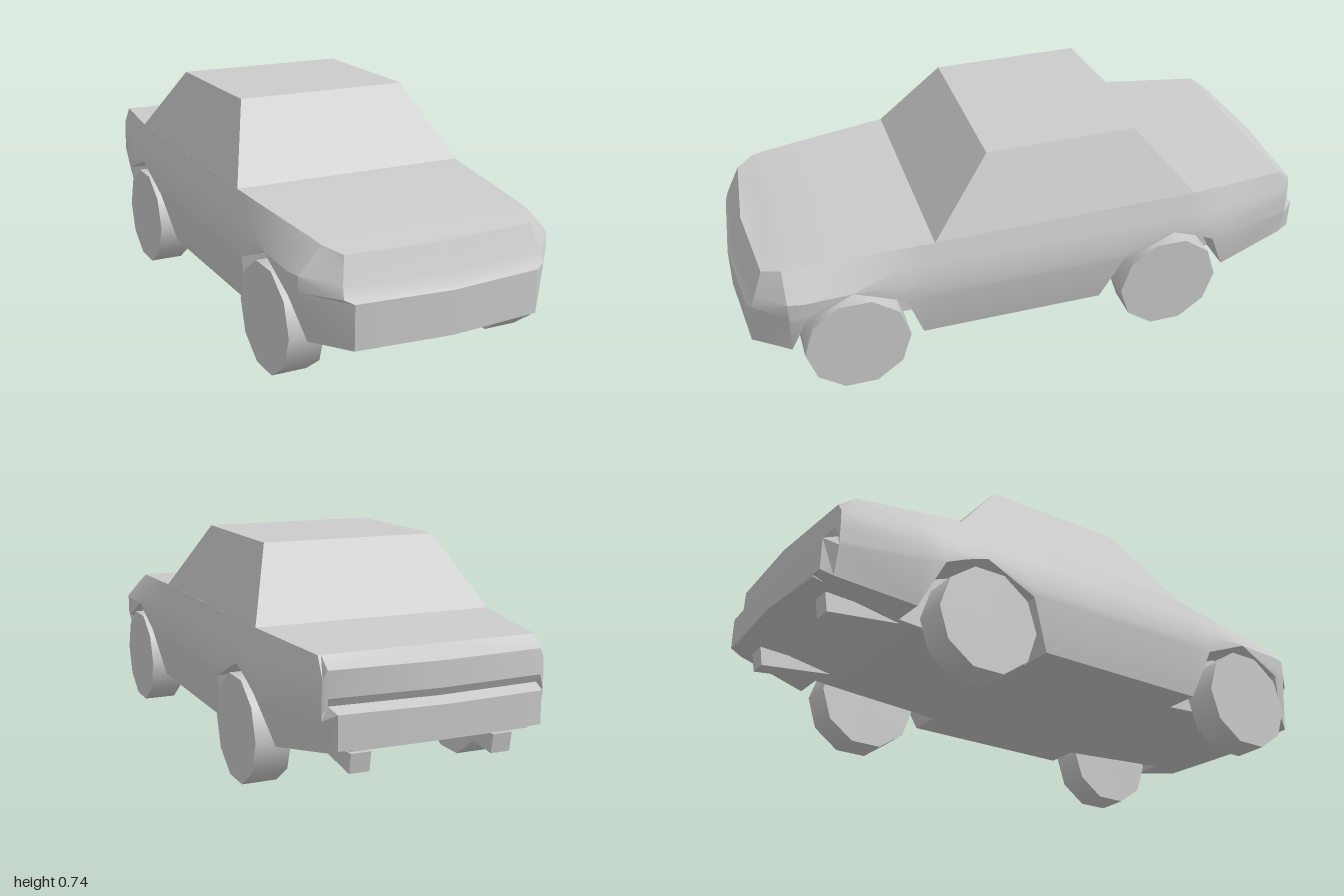
import * as THREE from 'three';
import { toCreasedNormals } from 'three/addons/utils/BufferGeometryUtils.js';

const material = new THREE.MeshStandardMaterial({ color: 0xcccccc });
const WELL_X = 0.29; // inner wall of the wheel wells

function addMesh(parent, name, geometry) {
  const mesh = new THREE.Mesh(geometry, material);
  mesh.name = name;
  parent.add(mesh);
  return mesh;
}

// Skins rings of [x, y, z] points, ordered front to back, and mirrors them in x.
function mirroredLoft(rings, crease) {
  const pos = [];
  const ab = new THREE.Vector3(), ac = new THREE.Vector3();
  const triangle = (...pts) => {
    const [a, b, c] = pts.map((p) => new THREE.Vector3(...p));
    if (ab.subVectors(b, a).cross(ac.subVectors(c, a)).length() < 1e-7) return;
    for (const v of [a, b, c]) pos.push(v.x, v.y, v.z);
    for (const v of [a, c, b]) pos.push(-v.x, v.y, v.z);
  };
  for (let i = 0; i < rings.length - 1; i++) {
    for (let j = 0; j < rings[i].length - 1; j++) {
      const a = rings[i][j], b = rings[i][j + 1];
      const d = rings[i + 1][j], c = rings[i + 1][j + 1];
      triangle(a, c, b);
      triangle(a, d, c);
    }
  }
  const geometry = new THREE.BufferGeometry();
  geometry.setAttribute('position', new THREE.Float32BufferAttribute(pos, 3));
  return toCreasedNormals(geometry, crease);
}

// Completes an outer side section with floor, wheel well and deck points.
function ring(side, floorY) {
  const [x, y, z] = side[0];
  const top = side[side.length - 1];
  const inner = Math.min(WELL_X, x);
  return [[0, floorY, z], [inner, floorY, z], [inner, y, z], ...side, [0, top[1], top[2]]];
}

// Side section: lower edge, two waist rows, upper rows, shoulder.
function sideSection([z, lowY, floorY, wide, shoulderX, shoulderY], shoulderZ = z) {
  const rows = [lowY, 0.31, 0.325, 0.375, 0.43].map((row) => {
    const y = Math.max(row, lowY);
    let x = wide;
    if (y < 0.31) x -= (0.31 - y) * 0.21;
    if (y > 0.38) x -= (wide - shoulderX) * (y - 0.38) / (shoulderY - 0.38);
    return [x, y, z];
  });
  return ring([...rows, [shoulderX, shoulderY, shoulderZ]], floorY);
}

function bodyGeometry() {
  // Nose: centre line and corner
  const frontY = [0.168, 0.31, 0.325, 0.36, 0.4, 0.44];
  const frontZ = [0.997, 0.997, 0.985, 0.97, 0.953, 0.937];
  const frontX = [0.315, 0.315, 0.345, 0.34, 0.33, 0.32];
  const nose = frontY.map((y, i) => [0, y, frontZ[i]]);
  const noseCorner = frontY.map((y, i) => [frontX[i], y, frontZ[i] - 0.027]);

  // Tail: bumper, recess, lamp panel, boot edge
  const rearY = [0.23, 0.335, 0.35, 0.375, 0.455, 0.49];
  const rearZ = [-1, -1, -0.955, -0.968, -0.965, -0.9];
  const rearX = [0.335, 0.335, 0.345, 0.35, 0.35, 0.35];
  const tail = rearY.map((y, i) => [0, y, rearZ[i]]);
  const tailCorner = rearY.map((y, i) => [rearX[i], y, rearZ[i] + (i < 5 ? 0.018 : 0)]);

  // z, lower edge, floor height, half width, shoulder x, shoulder y
  const stations = [
    [0.85, 0.168, 0.168, 0.435, 0.36, 0.457],
    [0.8, 0.3, 0.164, 0.445, 0.367, 0.463],
    [0.64, 0.38, 0.153, 0.445, 0.383, 0.475],
    [0.47, 0.31, 0.141, 0.445, 0.4, 0.487],
    [0.41, 0.137, 0.137, 0.445, 0.405, 0.492],
    [0.36, 0.137, 0.137, 0.445, 0.41, 0.495],
    [0, 0.137, 0.137, 0.445, 0.41, 0.5],
    [-0.22, 0.137, 0.137, 0.445, 0.41, 0.502],
    [-0.29, 0.3, 0.142, 0.445, 0.41, 0.503],
    [-0.47, 0.38, 0.153, 0.445, 0.41, 0.505],
    [-0.55, 0.352, 0.158, 0.445, 0.41, 0.505],
    [-0.62, 0.32, 0.163, 0.445, 0.4, 0.502],
    [-0.69, 0.168, 0.168, 0.432, 0.39, 0.499],
  ];
  return mirroredLoft([
    ring(nose, 0.168),
    ring(noseCorner, 0.168),
    ...stations.map((s) => sideSection(s)),
    sideSection([-0.942, 0.215, 0.215, 0.367, 0.36, 0.49], -0.9),
    ring(tailCorner, 0.225),
    ring(tail, 0.23),
  ], 0.45);
}

// Cabin: windscreen, roof, rear window and sloping sides
function cabinGeometry() {
  const section = (x, y, z, baseY, baseZ) => [[0.41, baseY, baseZ], [x, y, z], [0, y, z]];
  const frontBase = [[0.41, 0.495, 0.36], [0.41, 0.495, 0.36], [0, 0.495, 0.36]];
  const rearBase = [[0.41, 0.505, -0.55], [0.41, 0.505, -0.55], [0, 0.505, -0.55]];
  return mirroredLoft([
    frontBase,
    section(0.305, 0.735, 0.155, 0.495, 0.36),
    section(0.305, 0.735, -0.358, 0.505, -0.55),
    rearBase,
  ], 0.3);
}

// Wedge-shaped exhaust, drawn in side profile
function exhaustGeometry() {
  const profile = [[-0.68, 0.165], [-0.92, 0.137], [-0.93, 0.2], [-0.68, 0.185]];
  const shape = new THREE.Shape(profile.map(([z, y]) => new THREE.Vector2(z, y)));
  const geometry = new THREE.ExtrudeGeometry(shape, { depth: 0.065, bevelEnabled: false });
  return geometry.translate(0, 0, -0.0325).rotateY(-Math.PI / 2);
}

export function createModel() {
  const car = new THREE.Group();
  car.name = 'car';
  addMesh(car, 'body', bodyGeometry());
  addMesh(car, 'cabin', cabinGeometry());

  const wheel = new THREE.CylinderGeometry(0.177, 0.177, 0.117, 10).rotateZ(Math.PI / 2);
  const exhaust = exhaustGeometry();
  for (const [side, label] of [[1, 'left'], [-1, 'right']]) {
    addMesh(car, label + 'FrontWheel', wheel).position.set(side * 0.389, 0.168, 0.638);
    addMesh(car, label + 'RearWheel', wheel).position.set(side * 0.389, 0.168, -0.463);
    addMesh(car, label + 'Exhaust', exhaust).position.x = side * 0.237;
  }
  return car;
}
